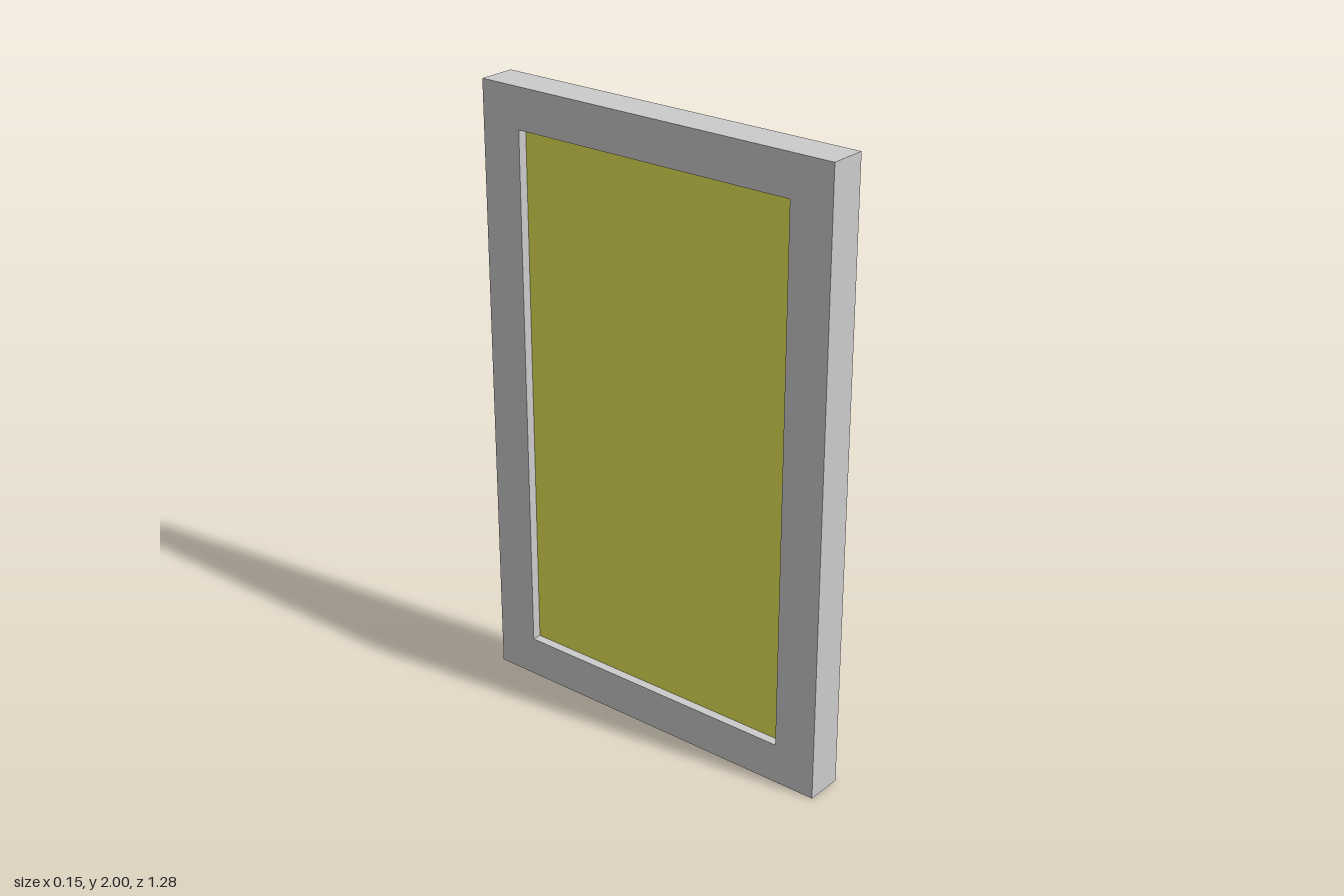
import * as THREE from 'three';

const WIDTH = 1.273, HEIGHT = 2, DEPTH = 0.123; // outer casing
const OPEN_W = 0.99, OPEN_H = 1.736, RECESS = 0.03; // opening and pane recess
const TILT = 0.0245; // slight turn about the vertical axis

const grey = new THREE.MeshStandardMaterial({ color: 0xcccccc, side: THREE.DoubleSide, flatShading: true });
const yellow = new THREE.MeshStandardMaterial({ color: 0xe6e655, side: THREE.DoubleSide, flatShading: true });

function rectangle(Kind, w, h) {
  const p = new Kind();
  p.moveTo(-w / 2, -h / 2);
  p.lineTo(w / 2, -h / 2);
  p.lineTo(w / 2, h / 2);
  p.lineTo(-w / 2, h / 2);
  p.closePath();
  return p;
}

// Four thin walls round a w by h rectangle, running from z0 forward by depth
function walls(name, w, h, z0, depth) {
  const group = new THREE.Group();
  group.name = name;
  const sides = ['Top', 'Left', 'Bottom', 'Right'];
  for (let i = 0; i < 4; i++) {
    const across = i % 2 === 0;
    const geo = new THREE.PlaneGeometry(across ? w : h, depth);
    geo.rotateX(-Math.PI / 2);
    geo.translate(0, (across ? h : w) / 2, z0 + depth / 2);
    geo.rotateZ(i * Math.PI / 2);
    const mesh = new THREE.Mesh(geo, grey);
    mesh.name = name + sides[i];
    group.add(mesh);
  }
  return group;
}

export function createModel() {
  const model = new THREE.Group();
  model.name = 'framedPanel';

  // Built facing +z, then turned so its open side faces +x
  const panel = new THREE.Group();
  panel.name = 'panel';
  panel.position.y = HEIGHT / 2;
  panel.rotation.y = Math.PI / 2 - TILT;
  model.add(panel);

  // Outer casing, open on one side
  panel.add(walls('casing', WIDTH, HEIGHT, -DEPTH / 2, DEPTH));

  // Flat border with the opening
  const border = rectangle(THREE.Shape, WIDTH, HEIGHT);
  border.holes.push(rectangle(THREE.Path, OPEN_W, OPEN_H));
  const frame = new THREE.Mesh(new THREE.ShapeGeometry(border), grey);
  frame.name = 'frameBorder';
  frame.position.z = -DEPTH / 2;
  panel.add(frame);

  // Recess walls and the coloured pane at their inner end
  panel.add(walls('recess', OPEN_W, OPEN_H, -DEPTH / 2, RECESS));
  const pane = new THREE.Mesh(new THREE.PlaneGeometry(OPEN_W, OPEN_H), yellow);
  pane.name = 'pane';
  pane.position.z = -DEPTH / 2 + RECESS;
  panel.add(pane);

  return model;
}
